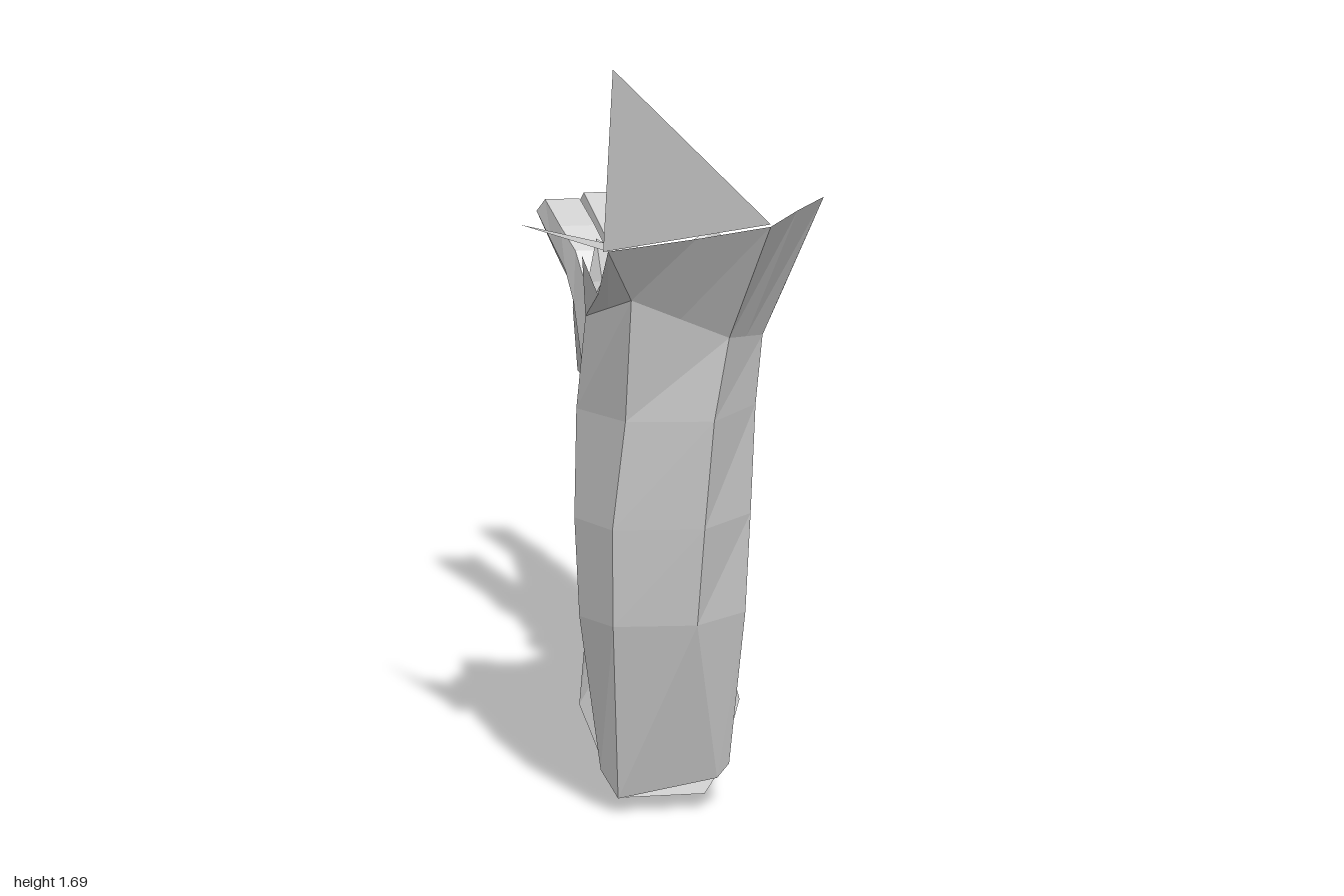
import * as THREE from 'three';

const grey = new THREE.MeshStandardMaterial({ color: 0xcccccc });
grey.name = 'plain grey';
grey.side = THREE.DoubleSide; // the sleeve is an open shell

// Six-sided section between edge a and edge b (both [z, y]):
// widest (xl..xr) at fraction m, corners pulled in by k of the width.
function hex(a, b, xl, xr, k = 0.28, m = 0.5) {
  const w = (xr - xl) * k;
  const mid = [a[0] + (b[0] - a[0]) * m, a[1] + (b[1] - a[1]) * m];
  const p = (x, e) => [x, e[1], e[0]];
  return [p(xl + w, a), p(xr - w, a), p(xr, mid), p(xr - w, b), p(xl + w, b), p(xl, mid)];
}

function mesh(name, tris) {
  const g = new THREE.BufferGeometry();
  g.setAttribute('position', new THREE.Float32BufferAttribute(tris.flat(), 3));
  g.computeVertexNormals(); // unshared corners give flat facets
  const m = new THREE.Mesh(g, grey);
  m.name = name;
  return m;
}

// Skin a list of equal rings, optionally closing either end.
function loft(name, rings, capStart = true, capEnd = true) {
  const t = [];
  const n = rings[0].length;
  for (let r = 0; r + 1 < rings.length; r++) {
    const a = rings[r], b = rings[r + 1];
    for (let i = 0; i < n; i++) {
      const j = (i + 1) % n;
      t.push(a[i], a[j], b[j], a[i], b[j], b[i]);
    }
  }
  const cap = (ring, flip) => {
    for (let i = 1; i + 1 < n; i++) {
      if (flip) t.push(ring[0], ring[i + 1], ring[i]);
      else t.push(ring[0], ring[i], ring[i + 1]);
    }
  };
  if (capStart) cap(rings[0], true);
  if (capEnd) cap(rings[rings.length - 1], false);
  return mesh(name, t);
}

export function createModel() {
  const group = new THREE.Group();
  group.name = 'arm';

  // Upper arm, open at the top; the neck ring is where the torn collar starts
  const neck = [
    [-0.12, 1.19, 0.85], [0.09, 1.1, 0.83], [0.19, 1.07, 0.67],
    [0.05, 1.16, 0.475], [-0.13, 1.16, 0.49], [-0.19, 1.12, 0.66],
  ];
  group.add(loft('upperArm', [
    [[-0.12, 0.04, 0.655], [0.1, 0.075, 0.65], [0.13, 0.1, 0.63],
      [0.05, 0.14, 0.6], [-0.11, 0.14, 0.6], [-0.155, 0.1, 0.63]],
    [[-0.145, 0.46, 0.755], [0.035, 0.46, 0.77], [0.155, 0.46, 0.68],
      [0.03, 0.46, 0.51], [-0.14, 0.46, 0.52], [-0.205, 0.46, 0.66]],
    [[-0.15, 0.68, 0.78], [0.045, 0.68, 0.8], [0.165, 0.68, 0.68],
      [0.03, 0.68, 0.5], [-0.145, 0.68, 0.51], [-0.215, 0.68, 0.66]],
    [[-0.125, 0.92, 0.8], [0.06, 0.92, 0.825], [0.175, 0.92, 0.675],
      [0.035, 0.92, 0.485], [-0.14, 0.92, 0.5], [-0.21, 0.92, 0.66]],
    neck,
  ], true, false));

  // Torn collar: peaks at the corners, notches between them
  const base = neck.flatMap((p, i) => {
    const q = neck[(i + 1) % 6];
    return [p, p.map((v, c) => (v + q[c]) / 2)];
  });
  const rim = [
    [-0.18, 1.31, 0.93], [0, 1.335, 0.95], [0.15, 1.36, 0.97], [0.235, 1.365, 0.82],
    [0.32, 1.365, 0.67], [0.24, 1.17, 0.65], [0.12, 1.26, 0.43], [-0.02, 1.18, 0.465],
    [-0.14, 1.25, 0.47], [-0.17, 1.17, 0.55], [-0.19, 1.24, 0.61], [-0.18, 1.19, 0.78],
  ];
  group.add(loft('collar', [base, rim], false, false));
  group.add(mesh('frontCollarSpike', [[-0.19, 1.31, 0.93], [0.15, 1.365, 0.97], [-0.18, 1.695, 1]]));
  group.add(mesh('sideCollarSpike', [[-0.18, 1.31, 0.93], [-0.315, 1.3, 0.55], [-0.17, 1.31, 0.84]]));

  // Forearm from the elbow to the wrist
  group.add(loft('forearm', [
    hex([0.62, 0.14], [0.65, 0.04], -0.14, 0.11, 0.15),
    [[-0.1, 0.35, 0.49], [0.07, 0.345, 0.48], [0.19, 0.18, 0.42],
      [0.05, 0.015, 0.52], [-0.04, 0.002, 0.52], [-0.18, 0.2, 0.47]],
    hex([-0.13, 0.645], [-0.22, 0.455], -0.045, 0.145, 0.2),
  ]));

  // Wristband
  group.add(loft('wristband', [
    hex([-0.11, 0.67], [-0.24, 0.415], -0.07, 0.17, 0.22),
    hex([-0.18, 0.7], [-0.31, 0.45], -0.07, 0.17, 0.22),
  ]));

  // Hand, palm facing -x
  group.add(loft('palm', [
    hex([-0.17, 0.67], [-0.28, 0.46], -0.04, 0.14),
    hex([-0.25, 0.82], [-0.36, 0.49], -0.06, 0.165, 0.28, 0.6),
    hex([-0.42, 0.94], [-0.45, 0.49], -0.03, 0.19, 0.25, 0.72),
    hex([-0.58, 0.81], [-0.63, 0.555], 0.02, 0.175, 0.2, 0.55),
  ]));
  // Thumb, its broad root blending into the palm
  group.add(loft('thumb', [
    hex([-0.235, 0.79], [-0.42, 0.82], -0.065, 0.1, 0.2),
    hex([-0.33, 0.955], [-0.445, 0.91], -0.075, 0.075, 0.2),
    hex([-0.4, 1.055], [-0.45, 0.955], -0.09, 0.03, 0.18),
    hex([-0.46, 1.105], [-0.52, 1.02], -0.115, 0.005, 0.15),
    hex([-0.55, 1.155], [-0.6, 1.09], -0.14, -0.02, 0.15),
  ]));
  group.add(loft('indexFinger', [
    hex([-0.47, 0.89], [-0.58, 0.8], 0.02, 0.16, 0.2),
    hex([-0.7, 0.995], [-0.75, 0.915], 0.05, 0.145, 0.15),
    hex([-0.88, 1.11], [-0.93, 1.04], 0.005, 0.09, 0.15),
  ]));
  group.add(loft('joinedFingers', [
    hex([-0.57, 0.8], [-0.63, 0.555], 0.025, 0.17, 0.15),
    hex([-0.79, 0.885], [-0.8, 0.595], 0.04, 0.135, 0.15),
    hex([-0.97, 0.96], [-0.96, 0.635], 0, 0.075, 0.15),
    hex([-1, 0.87], [-0.988, 0.72], 0.015, 0.06, 0.15),
  ]));
  return group;
}
